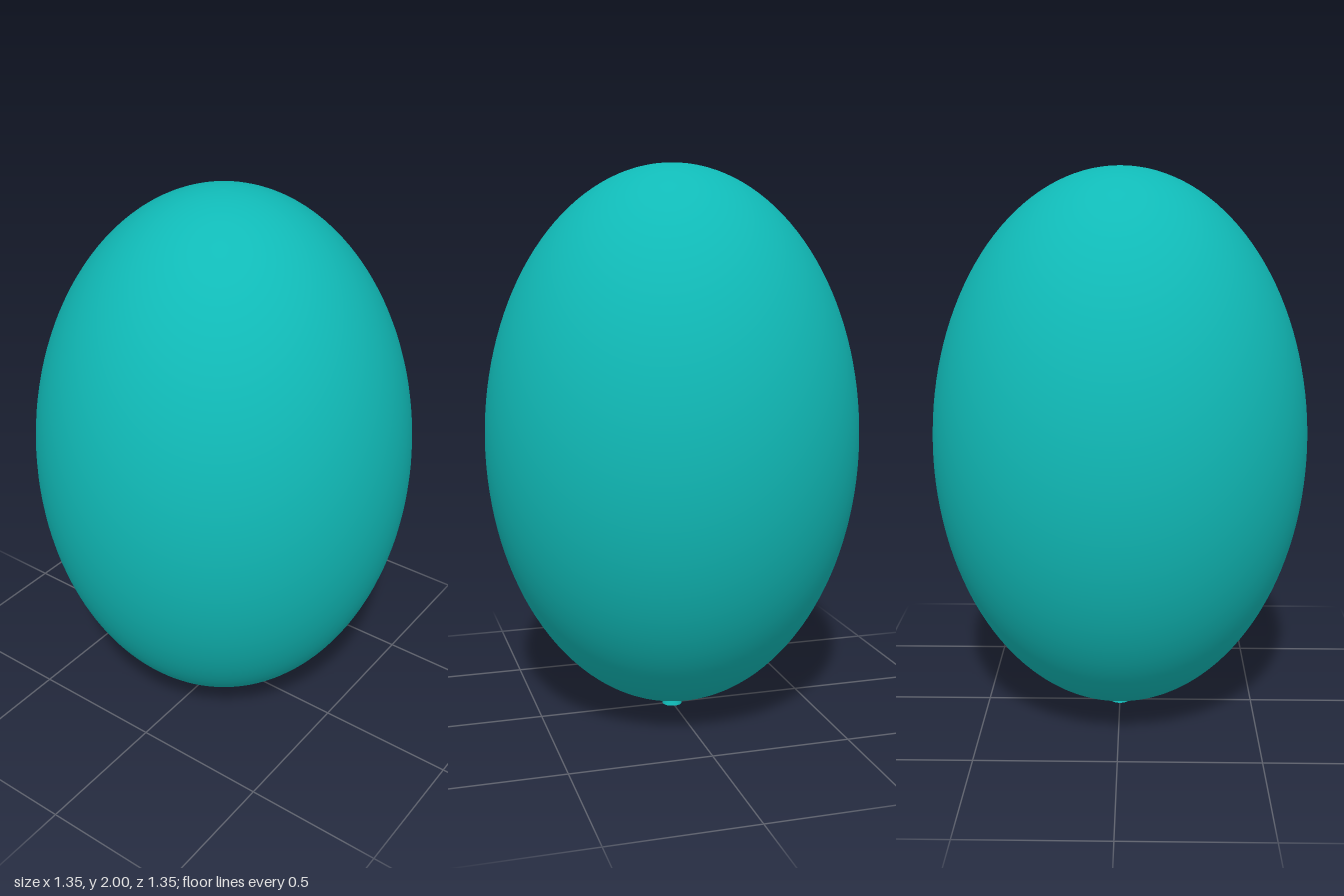
import * as THREE from 'three';

export function createModel() {
  const group = new THREE.Group();
  const material = new THREE.MeshStandardMaterial({ color: 0x10bab7 });

  // Balloon body: half ellipse, drawn in to a soft point near the neck
  const radius = 0.676, halfHeight = 0.98, centreY = 1.02;
  const profile = [new THREE.Vector2(0, 0.034), new THREE.Vector2(0.03, 0.04), new THREE.Vector2(0.08, 0.054), new THREE.Vector2(0.14, 0.067)];
  const start = Math.asin(0.2 / radius), steps = 60;
  for (let i = 0; i <= steps; i++) {
    const a = start + (Math.PI - start) * i / steps;
    profile.push(new THREE.Vector2(Math.max(0, radius * Math.sin(a)), centreY - halfHeight * Math.cos(a)));
  }
  const body = new THREE.Mesh(new THREE.LatheGeometry(profile, 96), material);
  body.name = 'balloonBody';
  group.add(body);

  // Flared knot under the body
  const knot = new THREE.Mesh(new THREE.CylinderGeometry(0.027, 0.037, 0.042, 32), material);
  knot.name = 'knot';
  knot.position.y = 0.021;
  group.add(knot);

  return group;
}
